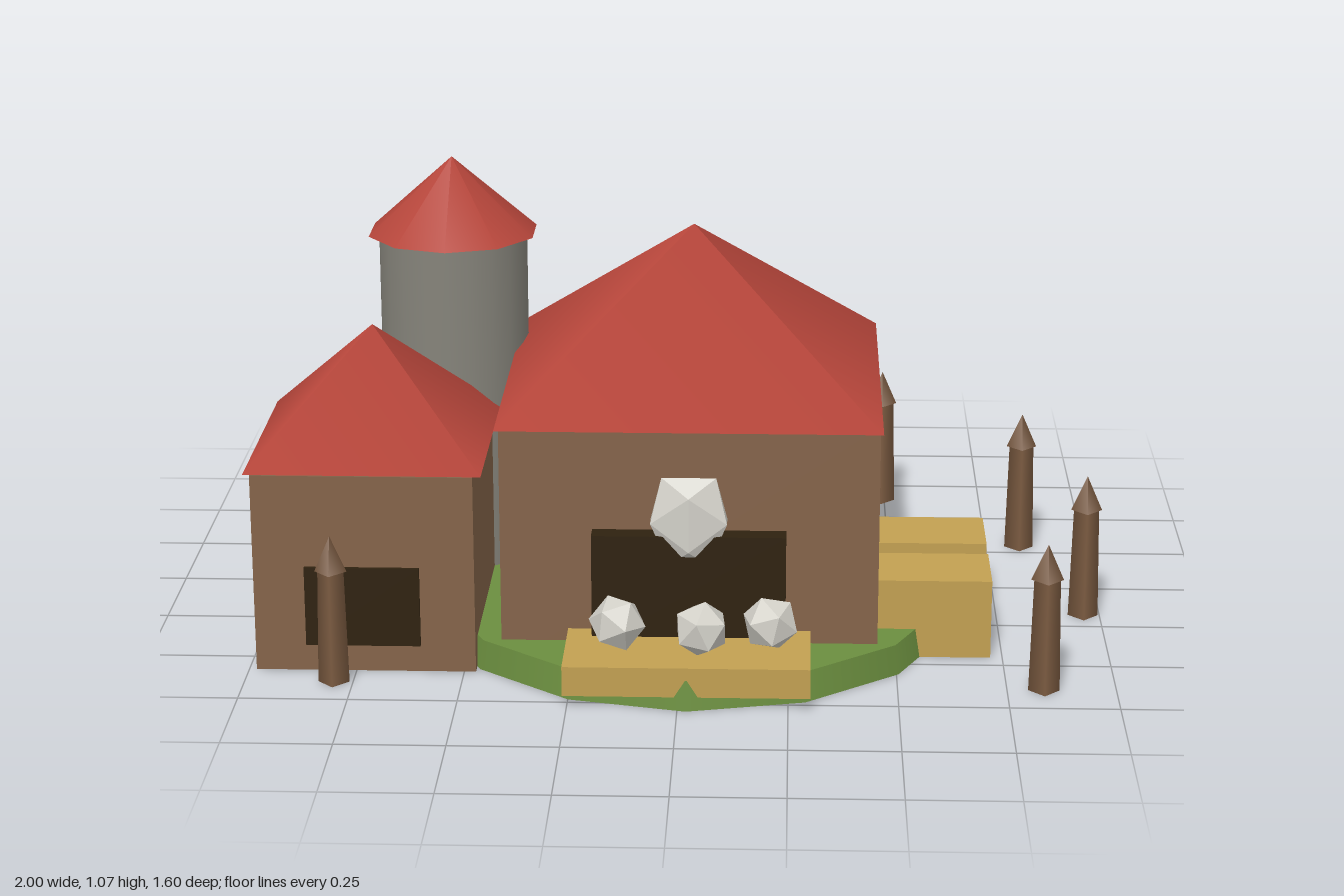
import * as THREE from 'three';

const mat = (name, color, extra = {}) => {
  const m = new THREE.MeshStandardMaterial({ color, ...extra });
  m.name = name;
  return m;
};

export function createModel() {
  const wall = mat('wall brown', 0x84644a);
  const roof = mat('roof red', 0xb5453a);
  const stone = mat('silo grey', 0x85837a);
  const grass = mat('grass green', 0x6b8e3f);
  const dark = mat('door dark', 0x2f2210);
  const straw = mat('straw', 0xc2a052);
  const post = mat('post wood', 0x7a5a40);
  const wool = mat('pale grey', 0xd2d0c8, { flatShading: true });

  const model = new THREE.Group();
  const add = (name, geo, material, x, y, z, parent = model) => {
    const mesh = new THREE.Mesh(geo, material);
    mesh.name = name;
    mesh.position.set(x, y, z);
    parent.add(mesh);
    return mesh;
  };
  // Box given by its centre in x and z and its bottom in y
  const box = (name, material, w, h, d, x, y, z) =>
    add(name, new THREE.BoxGeometry(w, h, d), material, x, y + h / 2, z);
  // Square pyramid roof standing on y
  const pyramid = (name, side, h, x, y, z) =>
    add(name, new THREE.ConeGeometry(side * Math.SQRT1_2, h, 4).rotateY(Math.PI / 4), roof, x, y + h / 2, z);

  const cx = 0.02, cz = 0.175;

  // Grass mound
  add('grassMound', new THREE.CylinderGeometry(0.61, 0.62, 0.07, 14), grass, cx, 0.035, cz);

  // Main barn
  box('barnBody', wall, 0.87, 0.6, 0.75, cx, 0, cz);
  pyramid('barnRoof', 0.88, 0.37, cx, 0.6, cz);
  box('barnDoor', dark, 0.445, 0.275, 0.05, cx, 0.07, 0.572);

  // Side shed
  box('shedBody', wall, 0.51, 0.475, 0.56, -0.728, 0, 0.297);
  pyramid('shedRoof', 0.545, 0.28, -0.727, 0.475, 0.3);
  box('shedDoor', dark, 0.265, 0.19, 0.02, -0.732, 0.065, 0.576);

  // Silo
  add('silo', new THREE.CylinderGeometry(0.18, 0.18, 0.88, 20), stone, -0.573, 0.44, -0.08);
  add('siloRoof', new THREE.ConeGeometry(0.208, 0.185, 10), roof, -0.573, 0.9725, -0.08);

  // Feeding trough and straw bales
  box('trough', straw, 0.56, 0.07, 0.235, cx, 0.03, 0.667);
  for (const z of [0.11, 0.362]) box('strawBale', straw, 0.27, 0.19, 0.184, 0.587, 0, z);

  // Wool bundles on the trough
  [[-0.14, 0.67], [0.052, 0.7], [0.208, 0.66]].forEach(([x, z], i) => {
    const bundle = add('woolBundle', new THREE.IcosahedronGeometry(0.066, 0), wool, x, 0.163, z);
    bundle.rotation.set(0.55, 0.4 + i * 0.9, 0);
  });

  // Faceted ornament above the door, narrower toward its bottom
  const gem = new THREE.IcosahedronGeometry(1, 0);
  const p = gem.attributes.position;
  for (let i = 0; i < p.count; i++) {
    const y = p.getY(i);
    p.setXYZ(i, p.getX(i) * 0.103 * (1 + 0.18 * y), y * 0.123, p.getZ(i) * 0.04);
  }
  gem.computeVertexNormals();
  add('doorOrnament', gem, wool, cx, 0.375, 0.575);

  // Pointed posts on an open ring
  for (const deg of [-150, -120, -90, -60, -30, 0, 30, 150]) {
    const a = THREE.MathUtils.degToRad(deg);
    const g = new THREE.Group();
    g.name = 'fencePost';
    g.position.set(cx + 0.94 * Math.cos(a), 0, cz + 0.94 * Math.sin(a));
    add('postShaft', new THREE.CylinderGeometry(0.03, 0.036, 0.27, 4), post, 0, 0.135, 0, g);
    add('postTip', new THREE.ConeGeometry(0.037, 0.085, 4), post, 0, 0.3125, 0, g);
    model.add(g);
  }
  return model;
}
